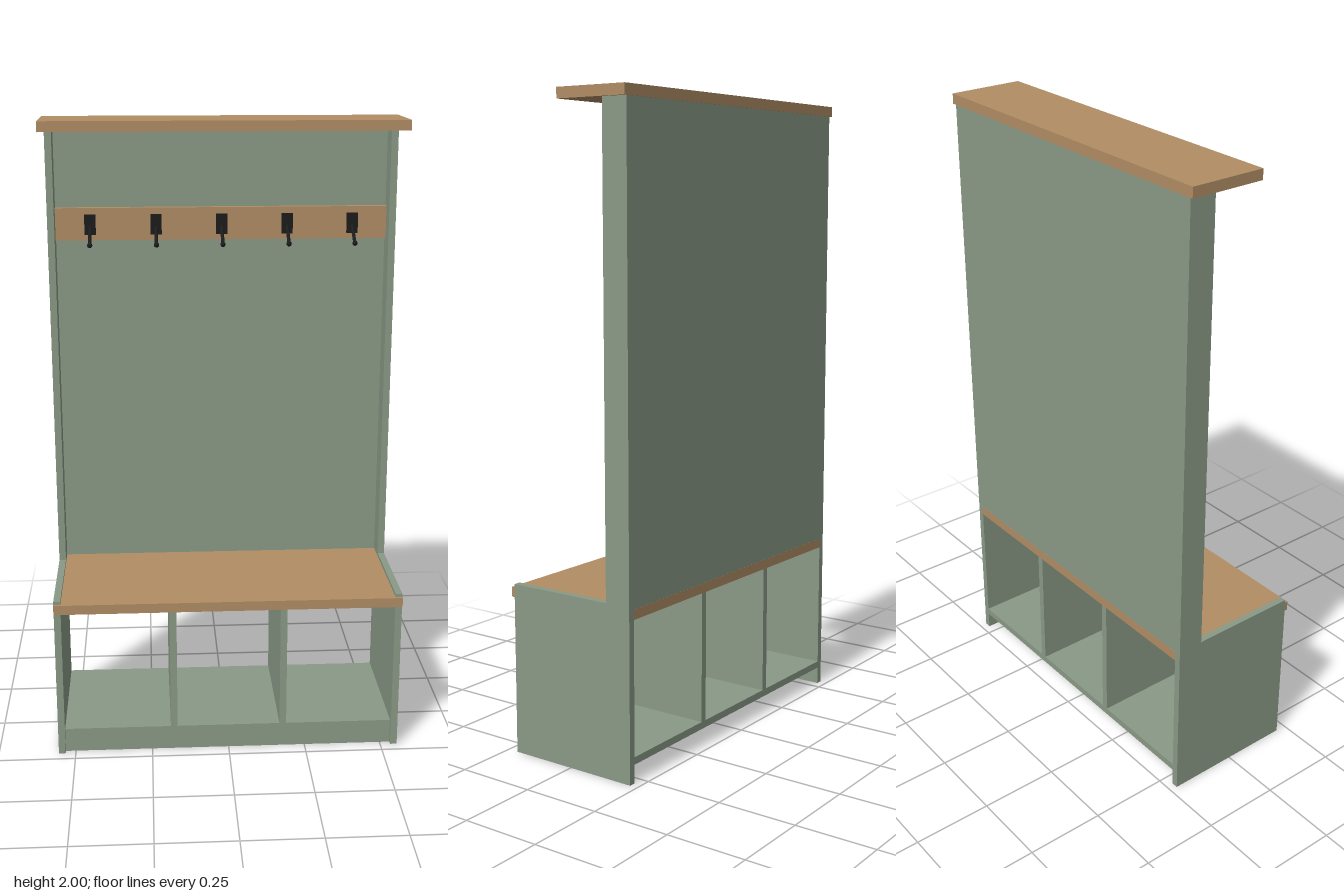
import * as THREE from 'three';

export function createModel() {
  const model = new THREE.Group();
  model.name = 'hallTree';
  const material = (name, color) => {
    const m = new THREE.MeshStandardMaterial({ color });
    m.name = name;
    return m;
  };
  const green = material('sagePaint', 0x8a9a86);
  const wood = material('oakWood', 0xb08d64);
  const black = material('blackMetal', 0x1c1c1c);

  const add = (name, geometry, mat, parent = model) => {
    const mesh = new THREE.Mesh(geometry, mat);
    mesh.name = name;
    parent.add(mesh);
    return mesh;
  };
  // Box given by its extents along each axis
  const box = (name, mat, [x0, x1], [y0, y1], [z0, z1], parent = model) => {
    const mesh = add(name, new THREE.BoxGeometry(x1 - x0, y1 - y0, z1 - z0), mat, parent);
    mesh.position.set((x0 + x1) / 2, (y0 + y1) / 2, (z0 + z1) / 2);
    return mesh;
  };

  const W = 0.555, T = 0.022, IN = W - T;
  const BACK = -0.225, FRONT = 0.215;

  // L-shaped side panels: deep beside the bench, narrow above it
  const profile = new THREE.Shape([
    [BACK, 0], [FRONT, 0], [FRONT, 0.535], [-0.14, 0.535], [-0.14, 1.97], [BACK, 1.97],
  ].map(([z, y]) => new THREE.Vector2(z, y)));
  const sideGeometry = new THREE.ExtrudeGeometry(profile, { depth: T, bevelEnabled: false });
  sideGeometry.rotateY(-Math.PI / 2);
  add('leftSidePanel', sideGeometry, green).position.x = W;
  add('rightSidePanel', sideGeometry, green).position.x = -IN;

  // Top shelf, back panel and bench seat
  box('topShelf', wood, [-0.566, 0.566], [1.968, 2], [-0.228, 0.014]);
  box('backPanel', green, [-IN, IN], [0.525, 1.968], [BACK, -0.215]);
  box('benchSeat', wood, [-IN, IN], [0.494, 0.525], [-0.2255, FRONT]);
  box('benchSeatFrontEdge', wood, [-W, W], [0.494, 0.525], [FRONT, 0.225]);

  // Cubby floor, toe kick and dividers
  box('cubbyFloor', green, [-IN, IN], [0.057, 0.08], [BACK, 0.2]);
  box('toeKick', green, [-IN, IN], [0, 0.057], [0.178, 0.2]);
  for (const s of [-1, 1]) {
    const x = s * 0.178;
    box(s > 0 ? 'leftDivider' : 'rightDivider', green,
      [x - T / 2, x + T / 2], [0.08, 0.494], [BACK, 0.2]);
  }

  // Hook rail with five coat hooks
  box('hookRail', wood, [-IN, IN], [1.612, 1.715], [-0.215, -0.193]);
  const start = new THREE.Vector3(0, 1.655, -0.19);
  const end = new THREE.Vector3(0, 1.607, -0.117);
  const direction = end.clone().sub(start);
  const rodGeometry = new THREE.CylinderGeometry(0.0055, 0.0055, direction.length(), 12);
  const tipGeometry = new THREE.SphereGeometry(0.0085, 12, 8);
  for (let i = -2; i <= 2; i++) {
    const hook = new THREE.Group();
    hook.name = 'coatHook';
    hook.position.x = i * 0.211;
    box('hookPlate', black, [-0.018, 0.018], [1.63, 1.695], [-0.193, -0.185], hook);
    const rod = add('hookRod', rodGeometry, black, hook);
    rod.position.copy(start).add(end).multiplyScalar(0.5);
    rod.quaternion.setFromUnitVectors(new THREE.Vector3(0, 1, 0), direction.clone().normalize());
    add('hookTip', tipGeometry, black, hook).position.copy(end);
    model.add(hook);
  }
  return model;
}
